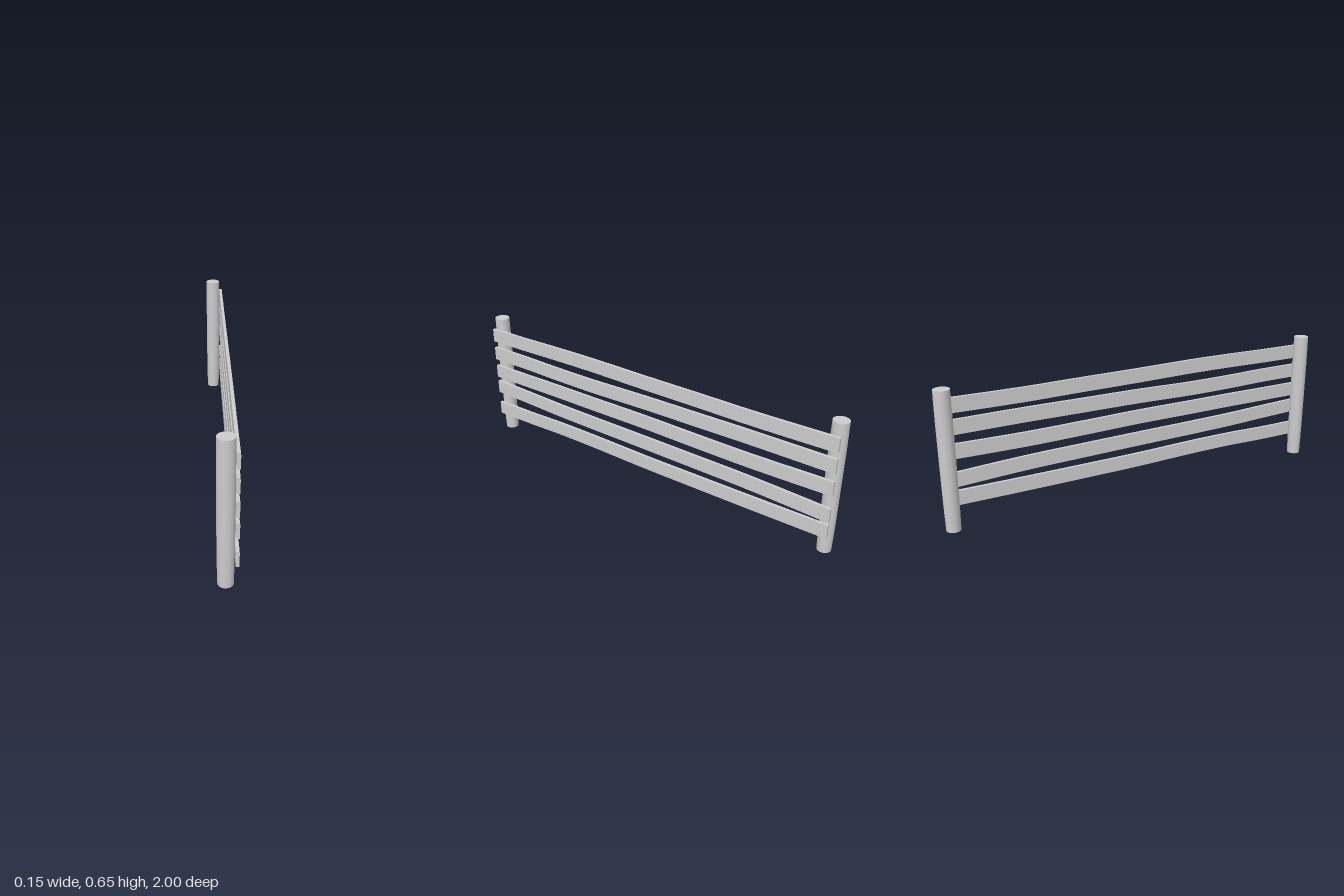
import * as THREE from 'three';

const material = new THREE.MeshStandardMaterial({ color: 0xcccccc });
const HEIGHT = 0.655, PLANK_HEIGHT = 0.07, THICKNESS = 0.015;

// Round post, slightly narrower towards the foot
function makePost(name, x, z) {
  const side = new THREE.SplineCurve([
    [0.033, 0], [0.0355, 0.12], [0.0365, 0.27], [0.0372, 0.42], [0.0375, 0.52], [0.0365, HEIGHT],
  ].map(([r, y]) => new THREE.Vector2(r, y))).getPoints(12);
  const post = new THREE.Group();
  post.name = name;
  const shaft = new THREE.Mesh(new THREE.LatheGeometry(side, 32), material);
  shaft.name = name + 'Shaft';
  post.add(shaft);
  for (const [y, r, turn] of [[HEIGHT, 0.0365, -1], [0, 0.033, 1]]) {
    const cap = new THREE.Mesh(new THREE.CircleGeometry(r, 32), material);
    cap.name = name + (y ? 'Top' : 'Foot');
    cap.rotation.x = turn * Math.PI / 2;
    cap.position.y = y;
    post.add(cap);
  }
  post.position.set(x, 0, z);
  return post;
}

// Stations along the plank and the lower edge height of each plank there
const stations = [-0.987, -0.75, -0.55, -0.3, 0, 0.3, 0.6, 0.985];
const planks = [
  [0.095, 0.096, 0.101, 0.1, 0.094, 0.093, 0.093, 0.095],
  [0.226, 0.219, 0.212, 0.208, 0.205, 0.201, 0.196, 0.18],
  [0.32, 0.32, 0.321, 0.32, 0.32, 0.315, 0.312, 0.318],
  [0.425, 0.425, 0.421, 0.42, 0.426, 0.428, 0.43, 0.428],
  [0.53, 0.531, 0.534, 0.535, 0.531, 0.529, 0.526, 0.53],
];

// Wavy plank with a nail at each end
function makePlank(heights, i) {
  const plank = new THREE.Group();
  plank.name = 'plank' + (i + 1);
  const edge = new THREE.SplineCurve(stations.map((u, k) => new THREE.Vector2(u, heights[k]))).getPoints(28);
  const top = edge.map((p) => new THREE.Vector2(p.x, p.y + PLANK_HEIGHT)).reverse();
  const board = new THREE.Mesh(new THREE.ExtrudeGeometry(new THREE.Shape([...edge, ...top]),
    { depth: THICKNESS, bevelEnabled: false }), material);
  board.name = 'board';
  plank.add(board);
  for (const [u, y] of [[-0.955, heights[0]], [0.955, heights[7]]]) {
    const nail = new THREE.Mesh(new THREE.CylinderGeometry(0.007, 0.008, 0.006, 12), material);
    nail.name = 'nail';
    nail.rotation.x = Math.PI / 2;
    nail.position.set(u, y + PLANK_HEIGHT / 2, THICKNESS);
    plank.add(nail);
  }
  return plank;
}

export function createModel() {
  const fence = new THREE.Group();
  fence.name = 'fence';
  fence.add(makePost('frontPost', -0.037, 0.962), makePost('backPost', 0.018, -0.962));

  // Planks run front to back, slightly askew, on the left faces of the posts
  const rails = new THREE.Group();
  rails.name = 'planks';
  planks.forEach((heights, i) => rails.add(makePlank(heights, i)));
  rails.rotation.y = Math.PI / 2 - 0.0283;
  rails.position.x = 0.028;
  fence.add(rails);
  return fence;
}
